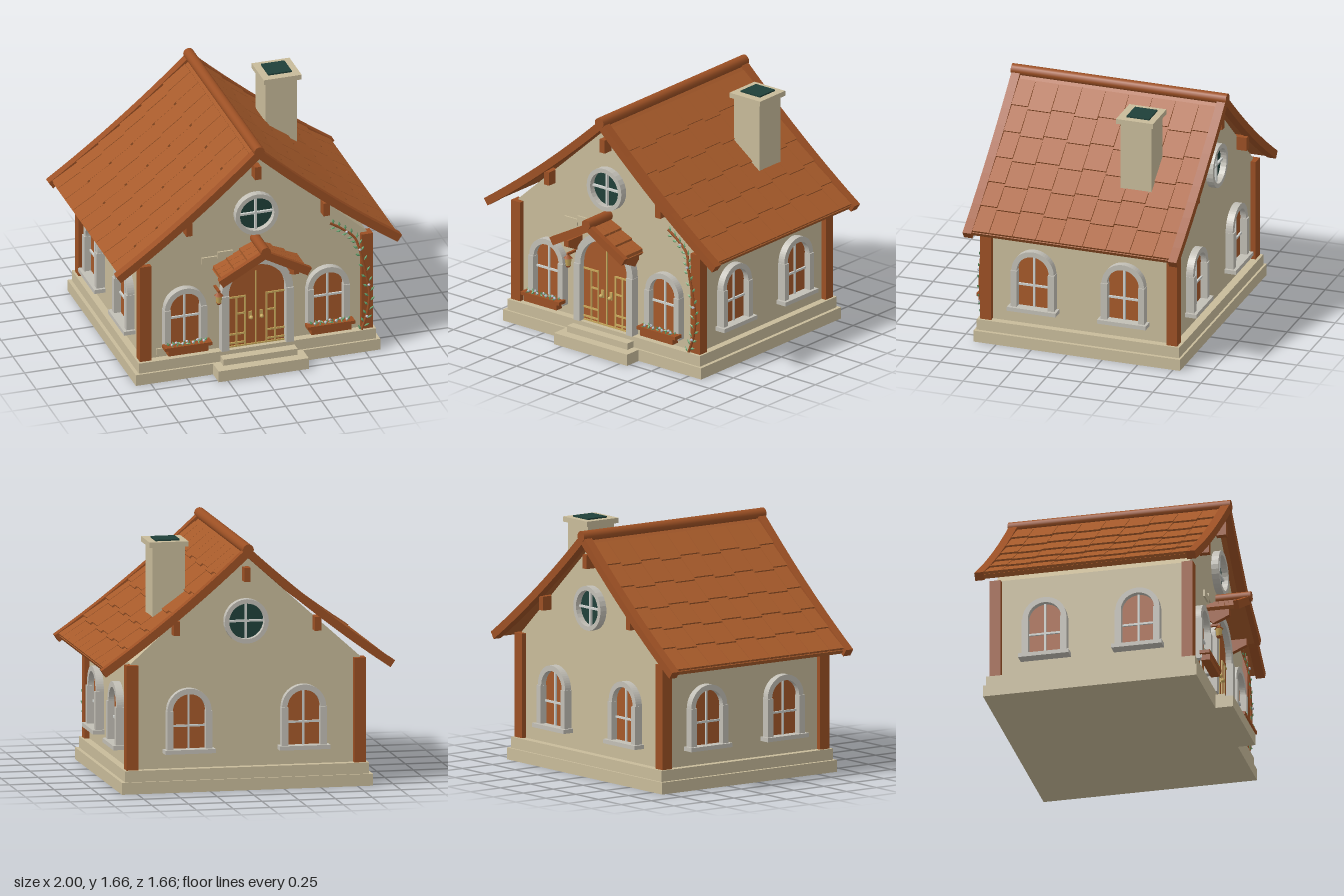
import * as THREE from 'three';

const mat = (name, color) => {
  const m = new THREE.MeshStandardMaterial({ color });
  m.name = name;
  return m;
};

export function createModel() {
  const M = {
    plaster: mat('plaster', 0xc8bb9a), wood: mat('wood', 0x9c5024), tile: mat('roofTile', 0xa65a2a),
    frame: mat('frameStone', 0xc2bfb6), glass: mat('darkGlass', 0x1f4039), bar: mat('glazingBar', 0xcfd2ce),
    gold: mat('brass', 0xc9a95c), leaf: mat('leaf', 0x6aa872), flower: mat('flower', 0xb9bcc8), pane: mat('paneWood', 0xa5592a),
  };
  const house = new THREE.Group();
  house.name = 'house';
  const ZC = -0.07;

  const add = (parent, name, geo, m, x = 0, y = 0, z = 0) => {
    const mesh = new THREE.Mesh(geo, m);
    mesh.name = name;
    mesh.position.set(x, y, z);
    parent.add(mesh);
    return mesh;
  };
  // Box from its bounds
  const box = (parent, name, m, x0, x1, y0, y1, z0, z1) =>
    add(parent, name, new THREE.BoxGeometry(x1 - x0, y1 - y0, z1 - z0), m, (x0 + x1) / 2, (y0 + y1) / 2, (z0 + z1) / 2);
  const extrude = (shape, depth) => new THREE.ExtrudeGeometry(shape, { depth, bevelEnabled: false, curveSegments: 14 });
  const poly = (pts) => new THREE.Shape(pts.map(([x, y]) => new THREE.Vector2(x, y)));
  const group = (name, x = 0, y = 0, z = 0, ry = 0) => {
    const g = new THREE.Group();
    g.name = name;
    g.position.set(x, y, z);
    g.rotation.y = ry;
    house.add(g);
    return g;
  };

  // Plinth and entrance steps
  box(house, 'lowerPlinth', M.plaster, -0.855, 0.855, 0, 0.08, -0.8, 0.66);
  box(house, 'upperPlinth', M.plaster, -0.83, 0.83, 0.08, 0.155, -0.785, 0.645);
  box(house, 'lowerStep', M.plaster, -0.315, 0.315, 0, 0.08, 0.6, 0.78);
  box(house, 'upperStep', M.plaster, -0.26, 0.26, 0.08, 0.125, 0.6, 0.71);

  // Walls with gables, corner posts
  add(house, 'walls', extrude(poly([[-0.78, 0.155], [0.78, 0.155], [0.78, 0.868], [0, 1.57], [-0.78, 0.868]]), 1.32), M.plaster, 0, 0, -0.73);
  for (const x of [-0.775, 0.775]) for (const z of [0.587, -0.727])
    box(house, 'cornerPost', M.wood, x - 0.04, x + 0.04, 0.155, 0.86, z - 0.038, z + 0.038);
  for (const [x, y, w] of [[-0.32, 0.825, 0.11], [-0.21, 0.852, 0.105], [-0.64, 0.197, 0.105]])
    box(house, 'wallStone', M.plaster, x - w / 2, x + w / 2, y - 0.023, y + 0.023, 0.58, 0.602);

  // Sagging roof profile: points offset by t along the normal
  const low = (x) => 1.57 - 0.913 * x + 0.12 * x * x;
  const slope = (x) => -0.913 + 0.24 * x;
  const off = (x, t) => {
    const s = slope(x), l = Math.hypot(1, s);
    return [x - s * t / l, low(x) + t / l];
  };
  const band = (t0, t1, xEnd) => {
    const a = [[0, low(0) + t0 * 1.35]], b = [[0, low(0) + t1 * 1.35]];
    for (let i = 1; i <= 10; i++) {
      const x = xEnd * i / 10;
      a.push(off(x, t0));
      b.push(off(x, t1));
    }
    return poly([...a, ...b.reverse()]);
  };
  for (const side of [0, 1]) {
    // The second half is the first turned about the centre line of the house
    const half = group(side ? 'leftRoofHalf' : 'rightRoofHalf', 0, 0, side ? 2 * ZC : 0, side ? Math.PI : 0);
    add(half, 'roofSlab', extrude(band(0.005, 0.035, 0.95), 1.4), M.tile, 0, 0, -0.77);
    for (const z of [-0.825, 0.625]) add(half, 'bargeBoard', extrude(band(0, 0.055, 0.968), 0.06), M.wood, 0, 0, z);
    // Overlapping tiles, cut at the barge boards
    const cols = 9, rows = 6;
    for (let c = 0; c < cols; c++) {
      const z0 = Math.max(-0.765, ZC + (c - 4.5) * 0.165 + 0.002);
      const z1 = Math.min(0.625, ZC + (c - 3.5) * 0.165 - 0.002);
      for (let r = 0; r < rows; r++) {
        const shift = c % 2 ? 0.012 : -0.004;
        const xa = 0.02 + r * 0.152 + (r ? shift : 0);
        const xb = r === rows - 1 ? 0.945 : 0.02 + (r + 1) * 0.152 + shift;
        const s = poly([off(xa, 0.03), off(xb, 0.03), off(xb, 0.052), off(xa, 0.04)]);
        add(half, 'roofTile', extrude(s, z1 - z0), M.tile, 0, 0, z0);
      }
    }
  }
  const log = (name, r, y, z0, z1) =>
    add(house, name, new THREE.CylinderGeometry(r, r, z1 - z0, 16), M.wood, 0, y, (z0 + z1) / 2).rotateX(Math.PI / 2);
  log('ridgeBeam', 0.037, 1.625, -0.83, 0.69);

  // Purlin ends under both gables
  for (const [x, y] of [[0, 1.452], [-0.48, 1.105], [0.48, 1.105]]) {
    box(house, 'purlinEnd', M.wood, x - 0.022, x + 0.022, y - 0.047, y + 0.047, 0.57, 0.66);
    box(house, 'purlinEnd', M.wood, x - 0.022, x + 0.022, y - 0.047, y + 0.047, -0.8, -0.71);
  }

  // Chimney
  box(house, 'chimneyStack', M.plaster, 0.36, 0.58, 1.06, 1.61, -0.5, -0.28);
  box(house, 'chimneyCap', M.plaster, 0.34, 0.605, 1.61, 1.645, -0.52, -0.258);
  box(house, 'chimneyFlue', M.glass, 0.39, 0.555, 1.645, 1.655, -0.475, -0.315);

  // Arched openings
  const arch = (r, y0, spring) => {
    const s = new THREE.Shape();
    s.moveTo(-r, y0);
    s.lineTo(r, y0);
    s.lineTo(r, spring);
    s.absarc(0, spring, r, 0, Math.PI, false);
    s.lineTo(-r, y0);
    return s;
  };
  const archFrame = (ro, ri, y0, spring) => {
    const s = new THREE.Shape();
    s.moveTo(ri, y0);
    s.lineTo(ro, y0);
    s.lineTo(ro, spring);
    s.absarc(0, spring, ro, 0, Math.PI, false);
    s.lineTo(-ro, y0);
    s.lineTo(-ri, y0);
    s.lineTo(-ri, spring);
    s.absarc(0, spring, ri, Math.PI, 0, true);
    return s;
  };
  const archWindow = (g, ro, ri, y0, spring, sill) => {
    add(g, 'windowFrame', extrude(archFrame(ro, ri, y0, spring), 0.05), M.frame);
    for (const s of [-1, 1]) box(g, 'windowJamb', M.frame, s * (ro + ri) / 2 - 0.022, s * (ro + ri) / 2 + 0.022, y0, spring, 0, 0.058);
    add(g, 'windowPane', extrude(arch(ri, y0, spring), 0.008), M.pane, 0, 0, 0.002);
    box(g, 'verticalBar', M.bar, -0.007, 0.007, y0, spring + ri, 0.008, 0.022);
    box(g, 'crossBar', M.bar, -ri, ri, 0.435, 0.449, 0.008, 0.022);
    if (sill) box(g, 'windowSill', M.frame, -0.172, 0.172, 0.26, 0.288, 0, 0.08);
  };
  for (const x of [-0.5, 0.5]) archWindow(group('frontWindow', x, 0, 0.59), 0.145, 0.107, 0.22, 0.515, false);
  for (const x of [-0.39, 0.39]) archWindow(group('backWindow', x, 0, -0.73, Math.PI), 0.15, 0.113, 0.28, 0.545, true);
  for (const s of [-1, 1]) for (const z of [0.25, -0.387])
    archWindow(group('sideWindow', s * 0.78, 0, z, s * Math.PI / 2), 0.15, 0.113, 0.28, 0.545, true);

  // Round gable windows
  for (const [z, ry] of [[0.59, 0], [-0.73, Math.PI]]) {
    const g = group('roundWindow', 0, 1.135, z, ry);
    const ring = new THREE.Shape().absarc(0, 0, 0.15, 0, Math.PI * 2, false);
    ring.holes.push(new THREE.Path().absarc(0, 0, 0.12, 0, Math.PI * 2, true));
    add(g, 'roundFrame', extrude(ring, 0.05), M.frame);
    add(g, 'roundPane', new THREE.CircleGeometry(0.122, 28), M.glass, 0, 0, 0.008);
    box(g, 'verticalBar', M.bar, -0.007, 0.007, -0.12, 0.12, 0.008, 0.025);
    box(g, 'crossBar', M.bar, -0.12, 0.12, -0.007, 0.007, 0.008, 0.025);
  }

  // Double front door with brass fittings
  const door = group('frontDoor', 0, 0, 0.59);
  add(door, 'doorFrame', extrude(archFrame(0.25, 0.2, 0.155, 0.565), 0.055), M.frame);
  add(door, 'doorLeaves', extrude(arch(0.2, 0.155, 0.565), 0.015), M.pane);
  box(door, 'centreStrip', M.gold, -0.004, 0.004, 0.155, 0.7, 0.014, 0.023);
  box(door, 'threshold', M.gold, -0.2, 0.2, 0.155, 0.165, 0.014, 0.023);
  for (const s of [-1, 1]) {
    box(door, 'doorJamb', M.frame, s * 0.226 - 0.026, s * 0.226 + 0.026, 0.155, 0.56, 0, 0.065);
    for (const x of [0.075, 0.135]) box(door, 'uprightStrip', M.gold, s * x - 0.005, s * x + 0.005, 0.165, 0.525, 0.014, 0.023);
    for (const [y, x0, x1] of [[0.525, 0.07, 0.2], [0.4, 0.07, 0.14], [0.25, 0.07, 0.2], [0.185, 0.07, 0.2]])
      box(door, 'hingeStrap', M.gold, s > 0 ? x0 : -x1, s > 0 ? x1 : -x0, y - 0.006, y + 0.006, 0.014, 0.023);
    box(door, 'handlePlate', M.gold, s * 0.037 - 0.011, s * 0.037 + 0.011, 0.35, 0.405, 0.014, 0.023);
    add(door, 'doorKnob', new THREE.SphereGeometry(0.014, 12, 8), M.gold, s * 0.037, 0.365, 0.035);
  }

  // Porch roof on brackets
  for (const s of [-1, 1]) {
    const strip = (t0, t1, x1) => {
      const p = [[0, 0.885 + t0], [x1, 0.885 + t0 - 0.56 * x1], [x1 + t1 * 0.5 - t0 * 0.5, 0.885 + t1 - 0.56 * x1 - 0.01], [0, 0.885 + t1]];
      return poly(s > 0 ? p : p.map(([x, y]) => [-x, y]).reverse());
    };
    add(house, 'porchBargeBoard', extrude(strip(0, 0.06, 0.295), 0.035), M.wood, 0, 0, 0.782);
    add(house, 'porchSlab', extrude(strip(0.006, 0.035, 0.285), 0.21), M.tile, 0, 0, 0.58);
    for (let c = 0; c < 3; c++) for (let r = 0; r < 3; r++) {
      const xa = 0.02 + r * 0.092, xb = xa + 0.09, y = (x) => 0.885 - 0.56 * x;
      const p = [[xa, y(xa) + 0.03], [xb, y(xb) + 0.03], [xb, y(xb) + 0.055], [xa, y(xa) + 0.042]];
      add(house, 'porchTile', extrude(poly(s > 0 ? p : p.map(([a, b]) => [-a, b]).reverse()), 0.062), M.tile, 0, 0, 0.592 + c * 0.064);
    }
    const br = extrude(poly([[0.59, 0.69], [0.63, 0.65], [0.74, 0.7], [0.74, 0.745], [0.59, 0.745]]), 0.035);
    add(house, 'porchBracket', br.rotateY(-Math.PI / 2), M.wood, s * 0.243 + 0.0175, 0, 0);
  }
  log('porchRidge', 0.035, 0.942, 0.58, 0.83);

  // Wall lantern
  const lamp = group('lantern', -0.28, 0, 0.675);
  box(lamp, 'lanternArm', M.wood, -0.008, 0.008, 0.615, 0.63, -0.09, 0.01);
  add(lamp, 'lanternHood', new THREE.ConeGeometry(0.032, 0.03, 6), M.wood, 0, 0.607, 0);
  add(lamp, 'lanternBody', new THREE.CylinderGeometry(0.024, 0.017, 0.055, 6), M.gold, 0, 0.565, 0);
  add(lamp, 'lanternBase', new THREE.CylinderGeometry(0.02, 0.012, 0.012, 6), M.wood, 0, 0.533, 0);

  // Leaves and blossoms
  const leafGeo = new THREE.OctahedronGeometry(1).scale(0.022, 0.009, 0.006);
  const flowerGeo = new THREE.IcosahedronGeometry(0.011);
  const leaf = (parent, x, y, z, rz, ry = 0) => add(parent, 'leaf', leafGeo, M.leaf, x, y, z).rotation.set(0, ry, rz);

  // Window boxes
  for (const x of [-0.5, 0.5]) {
    const g = group('windowBox', x, 0, 0.675);
    box(g, 'planter', M.wood, -0.14, 0.14, 0.205, 0.25, -0.035, 0.025);
    box(g, 'planterRim', M.wood, -0.165, 0.165, 0.245, 0.268, -0.04, 0.03);
    for (let i = 0; i < 15; i++) {
      const px = -0.13 + i * 0.0186;
      leaf(g, px, 0.275, i % 2 ? 0.015 : -0.01, i % 3 - 1, i * 1.3);
      if (i % 2) add(g, 'blossom', flowerGeo, M.flower, px, 0.28, i % 4 === 1 ? 0.012 : -0.012);
    }
  }

  // Climbing vine
  const vine = group('vine');
  const path = new THREE.CatmullRomCurve3([[0.73, 0.16, 0.64], [0.77, 0.28, 0.638], [0.785, 0.42, 0.638], [0.76, 0.58, 0.638],
    [0.72, 0.75, 0.632], [0.69, 0.84, 0.61], [0.61, 0.91, 0.6], [0.52, 0.97, 0.6]].map((p) => new THREE.Vector3(...p)));
  add(vine, 'vineStem', new THREE.TubeGeometry(path, 40, 0.009, 6), M.wood);
  for (let i = 0; i < 30; i++) {
    const t = (i + 0.5) / 30, p = path.getPoint(t), d = path.getTangent(t), s = i % 2 ? 1 : -1;
    leaf(vine, p.x + s * d.y * 0.022, p.y - s * d.x * 0.022, p.z + 0.006, Math.atan2(d.y, d.x) - s * 0.8);
    if (i % 7 === 3) add(vine, 'blossom', flowerGeo, M.flower, p.x, p.y, p.z + 0.012);
  }
  return house;
}
